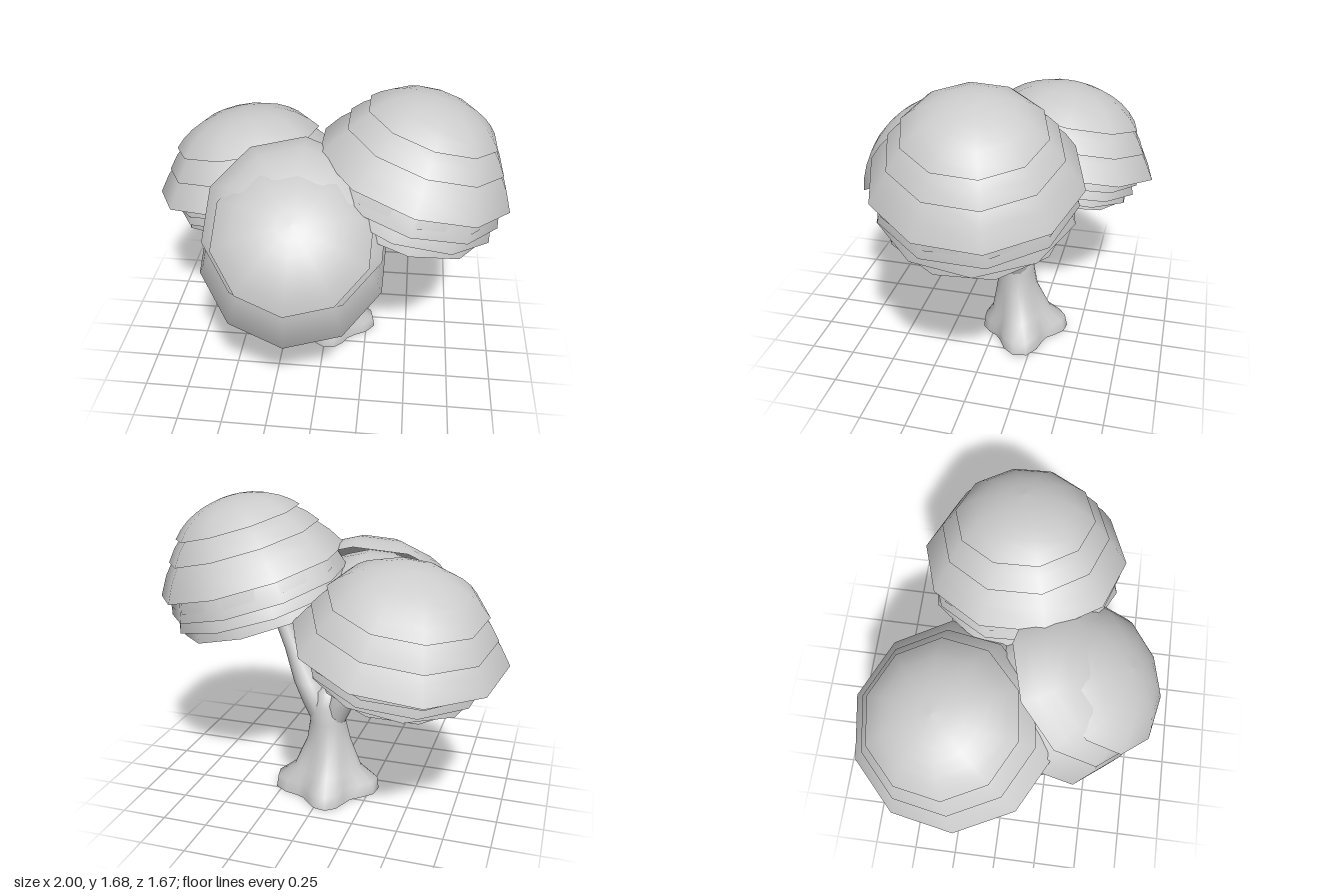
import * as THREE from 'three';

const bark = new THREE.MeshStandardMaterial({ color: 0xcccccc, side: THREE.DoubleSide });
bark.name = 'pale grey';

// Open dome: rim radius R at height 0, rising to the given height; sweep sets how round it is
function dome(R, height, sweep) {
  const pts = [], n = 6, cosEnd = Math.cos(sweep);
  for (let i = n; i >= 0; i--) {
    const a = sweep * i / n;
    pts.push(new THREE.Vector2(
      i ? R * Math.sin(a) / Math.sin(sweep) : 0,
      height * (Math.cos(a) - cosEnd) / (1 - cosEnd)));
  }
  return new THREE.LatheGeometry(pts, 10);
}

// Stack of nested domes along a leaning axis; each layer is [rimRadius, rimHeight, domeHeight, sweep, shift]
function foliage(name, center, axis, phase, layers) {
  const g = new THREE.Group();
  g.name = name;
  g.position.set(...center);
  g.quaternion.setFromUnitVectors(new THREE.Vector3(0, 1, 0), new THREE.Vector3(...axis).normalize());
  layers.forEach(([R, y, h, sweep = 1.4, shift = 0], i) => {
    const m = new THREE.Mesh(dome(R, h, sweep), bark);
    m.name = 'leafLayer' + (i + 1);
    m.position.set(0, y, shift);
    m.rotation.y = phase + (i > 2 ? 0.12 * Math.sin(i * 2.3) : 0);
    g.add(m);
  });
  return g;
}

// Skin over horizontal rings [x, y, z, radius, rootReach]; roots are [angle, strength]
const roots = [[-0.1, 1.4], [-1.85, 1], [2.9, 1.4], [1.4, 0.8]];
function loft(name, rings, sides = 24) {
  const pos = [], idx = [];
  for (const [x, y, z, r, reach = 0] of rings) {
    for (let j = 0; j < sides; j++) {
      const a = j / sides * Math.PI * 2;
      let R = r;
      for (const [b, s] of roots) R += reach * s * Math.pow(Math.max(0, Math.cos(a - b)), 6);
      pos.push(x + R * Math.cos(a), y, z + R * Math.sin(a));
    }
  }
  for (let i = 0; i < rings.length - 1; i++) {
    for (let j = 0; j < sides; j++) {
      const k = (j + 1) % sides, a = i * sides + j, b = i * sides + k;
      idx.push(a, a + sides, b, b, a + sides, b + sides);
    }
  }
  const geo = new THREE.BufferGeometry();
  geo.setAttribute('position', new THREE.Float32BufferAttribute(pos, 3));
  geo.setIndex(idx);
  geo.computeVertexNormals();
  const m = new THREE.Mesh(geo, bark);
  m.name = name;
  return m;
}

export function createModel() {
  const tree = new THREE.Group();
  tree.name = 'tree';

  // Trunk with spreading roots
  tree.add(loft('trunk', [
    [0, 0, -0.165, 0.165, 0.1],
    [0, 0.07, -0.16, 0.155, 0.1],
    [0, 0.14, -0.145, 0.14, 0.04],
    [0, 0.3, -0.12, 0.112, 0.01],
    [0.005, 0.42, -0.12, 0.102],
    [0.01, 0.52, -0.12, 0.095],
    [0.01, 0.6, -0.12, 0.06],
    [0.01, 0.63, -0.12, 0.001],
  ]));

  // Two branches
  tree.add(loft('leftBranch', [
    [0.015, 0.36, -0.12, 0.06], [0.06, 0.52, -0.12, 0.09], [0.13, 0.64, -0.105, 0.08],
    [0.22, 0.82, -0.075, 0.055], [0.3, 1.0, -0.065, 0.047], [0.38, 1.2, -0.06, 0.042],
    [0.39, 1.21, -0.06, 0.001],
  ], 12));
  tree.add(loft('rightBranch', [
    [-0.01, 0.36, -0.12, 0.06], [-0.06, 0.52, -0.125, 0.085], [-0.12, 0.62, -0.135, 0.072],
    [-0.2, 0.76, -0.145, 0.055], [-0.3, 0.96, -0.16, 0.05], [-0.305, 0.97, -0.16, 0.001],
  ], 12));

  // Tall crown on the left
  tree.add(foliage('leftCrown', [0.49, 1.24, -0.01], [0.27, 0.957, -0.05], 0, [
    [0.365, 0.285, 0.15, 1.0],
    [0.445, 0.17, 0.23, 1.0],
    [0.55, 0, 0.36, 1.05],
    [0.51, -0.07, 0.42],
    [0.525, -0.12, 0.42],
    [0.52, -0.185, 0.42],
    [0.485, -0.25, 0.42],
  ]));

  // Low crown behind on the right
  tree.add(foliage('rightCrown', [-0.44, 0.985, -0.28], [-0.17, 0.96, -0.15], -0.19, [
    [0.42, 0.25, 0.18, 1.0],
    [0.49, 0.13, 0.27, 1.05],
    [0.575, 0, 0.34, 1.05],
    [0.49, -0.07, 0.38],
    [0.485, -0.125, 0.38],
    [0.46, -0.17, 0.38],
    [0.42, -0.205, 0.38],
  ]));

  // Front crown leaning well forward
  tree.add(foliage('frontCrown', [-0.14, 0.83, 0.265], [0.08, 0.76, 0.65], 0, [
    [0.42, 0.38, 0.18, 1.0],
    [0.52, 0, 0.5],
    [0.49, 0.27, 0.25, 1.2, -0.09],
    [0.47, -0.09, 0.5, 1.4, -0.04],
    [0.46, -0.17, 0.5, 1.4, -0.07],
  ]));

  return tree;
}
